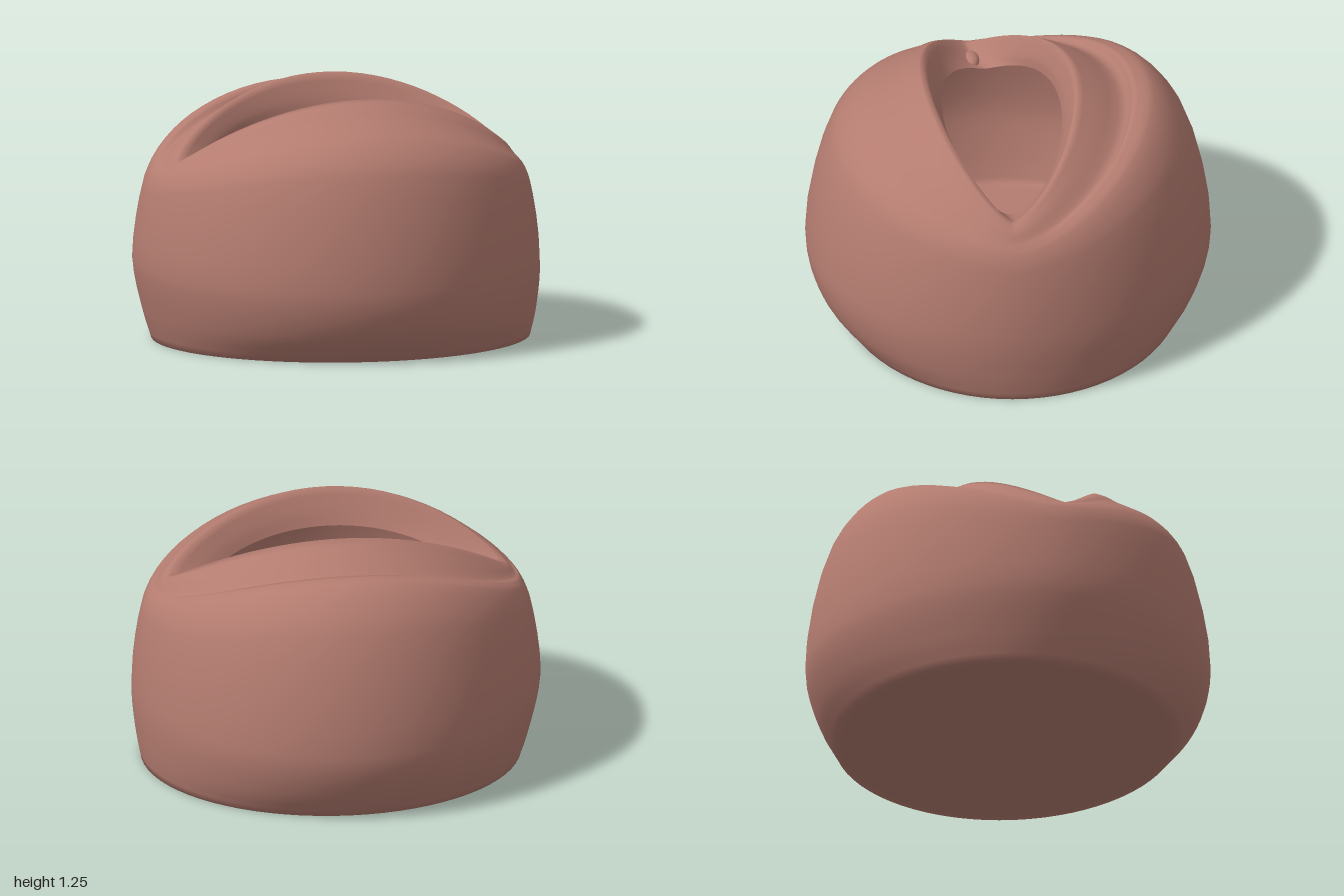
import * as THREE from 'three';

const SEG = 72;
const { lerp } = THREE.MathUtils;

// Strips of skin, each with three section paths of [distance from the axis, height].
// sideZ, bowZ, bowY and tilt run from the first ring of the strip to the last.
const STRIPS = [
  { // flat base
    steps: 2, sideZ: [0, 0], bowZ: [1, 1], bowY: [1, 1], tilt: [0, 0],
    side: [[0, 0], [0.89, 0], [0.93, 0]],
    front: [[0, 0], [0.79, 0], [0.83, 0]],
    back: [[0, 0], [0.8, 0], [0.84, 0]],
  },
  { // rounded wall, cheek in front and brow fold behind
    steps: 20, sideZ: [0, 0.07], bowZ: [1, 1.15], bowY: [1, 1.8], tilt: [0, 0],
    side: [[0.93, 0], [0.965, 0.14], [1, 0.4], [0.955, 0.74], [0.925, 0.82], [0.905, 0.85]],
    front: [[0.83, 0], [0.94, 0.14], [0.99, 0.36], [0.87, 0.92], [0.75, 1.06], [0.6, 1.135]],
    back: [[0.84, 0], [0.93, 0.14], [0.99, 0.36], [0.87, 0.96], [0.71, 1.155], [0.61, 1.17]],
  },
  { // crease under the fold, then the lids up to the rim
    steps: 9, sideZ: [0.07, 0.09], bowZ: [1.15, 1.3], bowY: [1.8, 1.65], tilt: [0, 0.04],
    side: [[0.905, 0.85], [0.885, 0.865], [0.855, 0.9], [0.81, 0.925]],
    front: [[0.6, 1.135], [0.53, 1.165], [0.47, 1.195], [0.395, 1.225]],
    back: [[0.61, 1.17], [0.57, 1.11], [0.44, 1.18], [0.32, 1.248]],
  },
  { // inner lids down to the opening
    steps: 6, sideZ: [0.09, 0.05], bowZ: [1.3, 1], bowY: [1.65, 1.5], tilt: [0.04, 0],
    side: [[0.81, 0.925], [0.7, 0.885], [0.63, 0.87]],
    front: [[0.395, 1.225], [0.345, 1.12], [0.32, 1.05]],
    back: [[0.32, 1.248], [0.275, 1.13], [0.26, 1.06]],
  },
];

const pathOf = (points) => new THREE.CatmullRomCurve3(points.map(([r, y]) => new THREE.Vector3(r, y, 0)));

// One ring of points, blending the side section into the front and back ones
function addRing(pos, strip, paths, t) {
  const [side, front, back] = paths.map((path) => path.getPoint(t));
  const [sideZ, bowZ, bowY, tilt] = ['sideZ', 'bowZ', 'bowY', 'tilt'].map((key) => lerp(...strip[key], t));
  for (let j = 0; j < SEG; j++) {
    const a = (j / SEG) * Math.PI * 2;
    const c = Math.cos(a), s = Math.sin(a), k = Math.abs(s);
    const end = s > 0 ? front : back;
    const y = lerp(side.y, end.y, k ** bowY) + tilt * 0.5 * c;
    const lean = 0.03 * Math.max(0, 1 - y / 0.4); // foot sits slightly to the left
    pos.push(side.x * c + lean, y, lerp(sideZ, Math.sign(s) * end.x, k ** bowZ) - tilt * c);
  }
}

function socketGeometry() {
  const pos = [], idx = [];
  STRIPS.forEach((strip, n) => {
    const paths = [strip.side, strip.front, strip.back].map(pathOf);
    for (let i = n ? 1 : 0; i <= strip.steps; i++) addRing(pos, strip, paths, i / strip.steps);
  });
  const rings = pos.length / 3 / SEG;
  for (let i = 0; i < rings - 1; i++) {
    for (let j = 0; j < SEG; j++) {
      const p = i * SEG + j, q = i * SEG + ((j + 1) % SEG);
      if (i > 0) idx.push(p, p + SEG, q);
      idx.push(q, p + SEG, q + SEG);
    }
  }
  const g = new THREE.BufferGeometry();
  g.setAttribute('position', new THREE.Float32BufferAttribute(pos, 3));
  g.setIndex(idx);
  g.computeVertexNormals();
  return g;
}

export function createModel() {
  const group = new THREE.Group();
  group.name = 'eyeSocket';
  const skin = new THREE.MeshStandardMaterial({ color: 0xb47c70, side: THREE.DoubleSide });
  skin.name = 'skin';

  const shell = new THREE.Mesh(socketGeometry(), skin);
  shell.name = 'socketAndLids';
  group.add(shell);

  // small bump in the inner corner
  const bump = new THREE.Mesh(new THREE.SphereGeometry(1, 20, 12), skin);
  bump.name = 'tearDuct';
  bump.scale.set(0.065, 0.03, 0.04);
  bump.position.set(-0.71, 0.875, 0.11);
  group.add(bump);
  return group;
}
